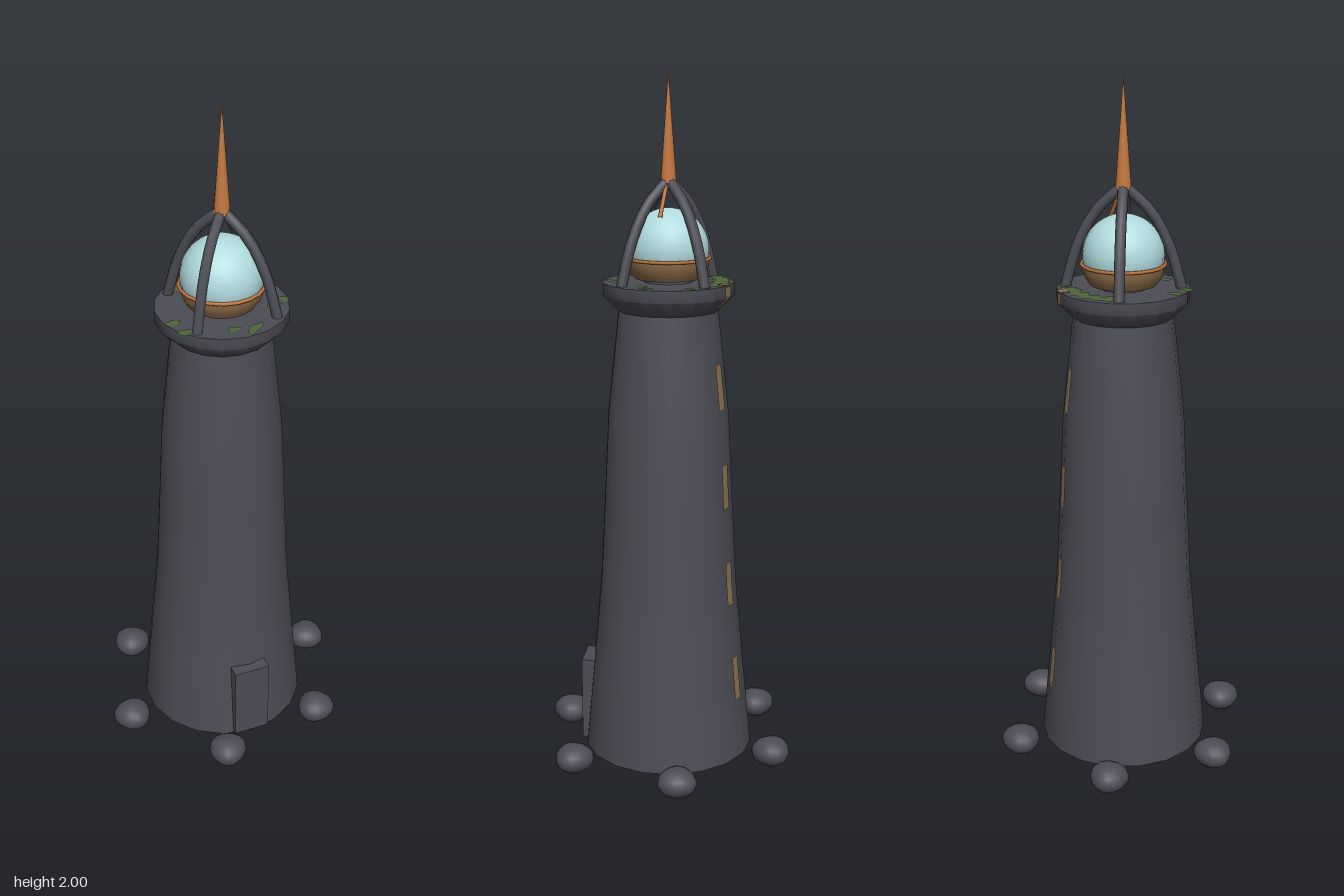
import * as THREE from 'three';
import { toCreasedNormals } from 'three/addons/utils/BufferGeometryUtils.js';

const SIDES = 18;
// Tower wall outline as [radius, height], foot to rim
const WALL = [[0.25, 0.02], [0.225, 0.28], [0.2, 0.55], [0.187, 0.8], [0.175, 1.04], [0.143, 1.34], [0.187, 1.385], [0.187, 1.42]];

const v2 = (pts) => pts.map(([x, y]) => new THREE.Vector2(x, y));
const v3 = (pts) => pts.map((p) => new THREE.Vector3(...p));

function wallRadius(y) {
  for (let i = 1; i < WALL.length; i++) {
    const [r0, y0] = WALL[i - 1], [r1, y1] = WALL[i];
    if (y <= y1) return r0 + (r1 - r0) * (y - y0) / (y1 - y0);
  }
  return WALL[WALL.length - 1][0];
}

export function createModel() {
  const model = new THREE.Group();
  model.name = 'lighthouse';

  const material = (name, color, extra = {}) => {
    const m = new THREE.MeshStandardMaterial({ color, ...extra });
    m.name = name;
    return m;
  };
  const stone = material('dark stone', 0x4c4c55);
  const glass = material('pale glass', 0xb0dade);
  const copper = material('copper', 0xc4783f);
  const bronze = material('bronze', 0x8a6a48);
  const moss = material('moss', 0x4d6638, { side: THREE.DoubleSide });
  const stain = material('rust stain', 0x8c7353, { side: THREE.DoubleSide });

  const add = (name, geometry, mat, parent = model) => {
    const mesh = new THREE.Mesh(geometry, mat);
    mesh.name = name;
    parent.add(mesh);
    return mesh;
  };
  const group = (name) => {
    const g = new THREE.Group();
    g.name = name;
    model.add(g);
    return g;
  };

  // Tower with flared rim, closed at top and bottom
  const outline = v2([[0, 0.02], ...WALL, [0, 1.42]]);
  add('tower', toCreasedNormals(new THREE.LatheGeometry(outline, SIDES), 0.8), stone);

  // Door slab
  add('door', new THREE.BoxGeometry(0.11, 0.25, 0.06), stone).position.set(0, 0.153, 0.225);

  // Boulders around the foot
  const rocks = group('rocks');
  [[-0.225, -0.25], [0.105, -0.32], [0.33, -0.067], [0.222, 0.25], [-0.105, 0.318], [-0.33, 0.068]].forEach(([x, z], i) => {
    const g = new THREE.SphereGeometry(1, 16, 12);
    const p = g.attributes.position;
    for (let k = 0; k < p.count; k++) {
      const a = Math.atan2(p.getZ(k), p.getX(k));
      const s = 1 + 0.045 * Math.cos(3 * a + i * 1.7);
      p.setXYZ(k, p.getX(k) * s, p.getY(k), p.getZ(k) * s);
    }
    g.scale(0.057, 0.042, 0.056);
    g.computeVertexNormals();
    add('rock', g, stone, rocks).position.set(x, 0.042, z);
  });

  // Broken stain running down the back wall, following its slope
  const stains = group('stains');
  const stainAngle = Math.PI - 0.37;
  [0.26, 0.55, 0.84, 1.13, 1.385].forEach((y, i) => {
    const half = i === 4 ? 0.033 : 0.065;
    const pts = [];
    for (let k = 0; k <= 6; k++) {
      const h = y - half + (k / 6) * half * 2;
      pts.push([wallRadius(h) + 0.002, h]);
    }
    const spread = 0.034 / wallRadius(y);
    const g = new THREE.LatheGeometry(v2(pts), 4, stainAngle - spread / 2, spread);
    add('wallStain', g, stain, stains);
  });
  const topStain = add('topStain', new THREE.BoxGeometry(0.034, 0.003, 0.028), stain, stains);
  topStain.position.set(0.064, 1.423, -0.165);
  topStain.rotation.y = -0.37;

  // Moss on the gallery floor: [x, z, long radius, short radius, turn]
  const mossGroup = group('moss');
  const layFlat = (shape, name) => {
    const mesh = add(name, new THREE.ShapeGeometry(shape), moss, mossGroup);
    mesh.rotation.x = -Math.PI / 2;
    mesh.position.y = 1.4225;
  };
  [[-0.16, 0.05, 0.023, 0.016, 0.2], [-0.145, 0.108, 0.023, 0.016, 0], [-0.02, 0.14, 0.02, 0.013, 0.1],
    [0.035, 0.155, 0.036, 0.014, 0.7], [0.13, 0.058, 0.023, 0.016, 0.3], [0.168, 0.038, 0.02, 0.013, 1.5],
    [0.155, -0.08, 0.017, 0.015, 0], [0.115, -0.115, 0.022, 0.018, 0.6]].forEach(([x, z, a, b, turn], i) => {
    const pts = [];
    for (let k = 0; k < 14; k++) {
      const t = (k / 14) * Math.PI * 2;
      const w = 1 + 0.13 * Math.sin(3 * t + i) + 0.08 * Math.cos(5 * t + i * 2);
      const px = a * w * Math.cos(t), py = b * w * Math.sin(t);
      pts.push([x + px * Math.cos(turn) - py * Math.sin(turn), -z + px * Math.sin(turn) + py * Math.cos(turn)]);
    }
    layFlat(new THREE.Shape(v2(pts)), 'mossPatch');
  });
  // Wide moss band along the back
  const outer = [], inner = [];
  for (let k = 0; k <= 16; k++) {
    const t = 0.95 + (k / 16) * 1.3;
    const ro = 0.174 + 0.006 * Math.sin(k * 2.1), ri = 0.128 + 0.009 * Math.sin(k * 1.6);
    outer.push([ro * Math.cos(t), ro * Math.sin(t)]);
    inner.unshift([ri * Math.cos(t), ri * Math.sin(t)]);
  }
  layFlat(new THREE.Shape(v2([...outer, ...inner])), 'mossBand');

  // Lantern: glass dome, bronze bowl and copper ring
  const cut = Math.acos(-0.025 / 0.115);
  add('glassDome', new THREE.SphereGeometry(0.115, 24, 14, 0, Math.PI * 2, 0, cut), glass).position.y = 1.511;
  const bowl = v2([[0, 1.43], [0.095, 1.43], [0.108, 1.45], [0.115, 1.47], [0.115, 1.487], [0, 1.487]]);
  add('lanternBowl', toCreasedNormals(new THREE.LatheGeometry(bowl, 20), 0.8), bronze);
  const ring = add('lanternRing', new THREE.TorusGeometry(0.118, 0.005, 6, 20), copper);
  ring.rotation.x = Math.PI / 2;
  ring.position.y = 1.487;
  add('lanternFoot', new THREE.CylinderGeometry(0.07, 0.07, 0.012, 20), stone).position.y = 1.425;

  // Four bent struts meeting over the dome
  const struts = group('struts');
  const radial = Math.SQRT2;
  const bend = new THREE.CatmullRomCurve3(v3([[0.116 * radial, 1.415, 0], [0.09 * radial, 1.54, 0], [0.053 * radial, 1.635, 0], [0, 1.705, 0]]));
  for (let i = 0; i < 4; i++) {
    const strut = add('strut', new THREE.TubeGeometry(bend, 8, 0.015, 8), stone, struts);
    strut.rotation.y = Math.PI / 4 + (i * Math.PI) / 2;
  }

  // Spire and the small rod hanging beside it
  add('spire', new THREE.ConeGeometry(0.023, 0.305, 12), copper).position.y = 1.8475;
  const rodPath = new THREE.LineCurve3(...v3([[0.01, 1.7, 0.003], [0.072, 1.605, 0.014]]));
  add('rod', new THREE.TubeGeometry(rodPath, 1, 0.006, 6), copper);

  return model;
}
